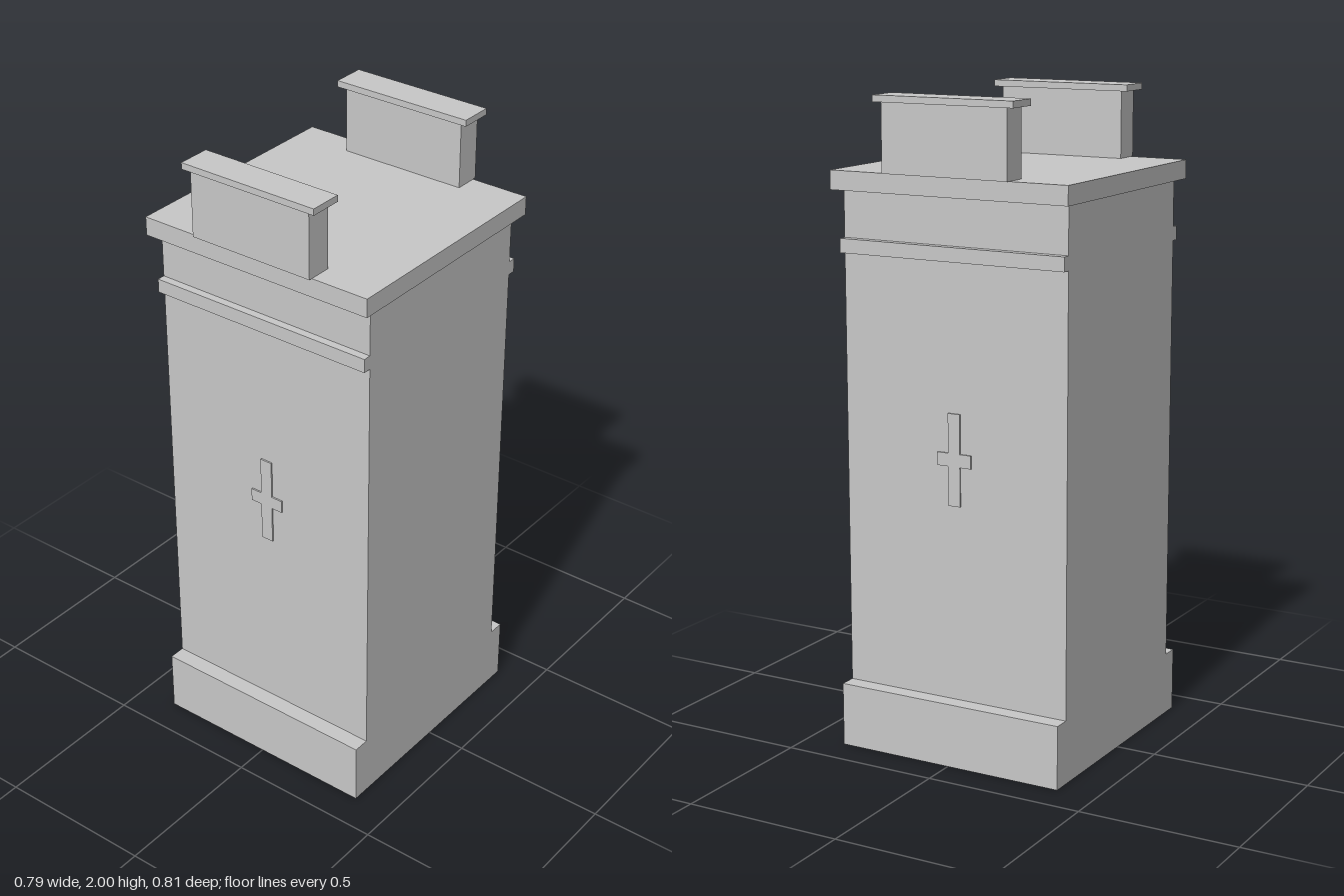
import * as THREE from 'three';

export function createModel() {
  const model = new THREE.Group();
  model.name = 'stonePillar';
  const stone = new THREE.MeshStandardMaterial({ color: 0xc8c8c8 });
  stone.name = 'pale stone';

  // box centred on x, given its width, vertical range and z range
  const block = (name, width, y0, y1, z0, z1, parent = model) => {
    const mesh = new THREE.Mesh(new THREE.BoxGeometry(width, y1 - y0, z1 - z0), stone);
    mesh.position.set(0, (y0 + y1) / 2, (z0 + z1) / 2);
    mesh.name = name;
    parent.add(mesh);
  };

  // main column
  block('plinth', 0.748, 0, 0.198, -0.394, 0.394);
  block('shaft', 0.748, 0.198, 1.717, -0.342, 0.342);
  block('capSlab', 0.788, 1.717, 1.775, -0.384, 0.384);

  // raised cross outline
  const a = 0.02, arm = 0.057, tall = 0.14;
  const cross = new THREE.Shape([
    [-a, -tall], [a, -tall], [a, -a], [arm, -a], [arm, a], [a, a],
    [a, tall], [-a, tall], [-a, a], [-arm, a], [-arm, -a], [-a, -a],
  ].map(([x, y]) => new THREE.Vector2(x, y)));
  const crossGeometry = new THREE.ExtrudeGeometry(cross, { depth: 0.006, bevelEnabled: false });

  // matching details on the front and back
  for (const side of ['front', 'back']) {
    const face = new THREE.Group();
    face.name = side + 'Details';
    if (side === 'back') face.rotation.y = Math.PI;
    block(side + 'Band', 0.748, 1.53, 1.573, 0.342, 0.367, face);
    block(side + 'Parapet', 0.414, 1.775, 1.98, 0.312, 0.395, face);
    block(side + 'Coping', 0.462, 1.98, 2, 0.3, 0.404, face);
    const relief = new THREE.Mesh(crossGeometry, stone);
    relief.name = side + 'Cross';
    relief.position.set(0, 0.94, 0.341);
    face.add(relief);
    model.add(face);
  }
  return model;
}
